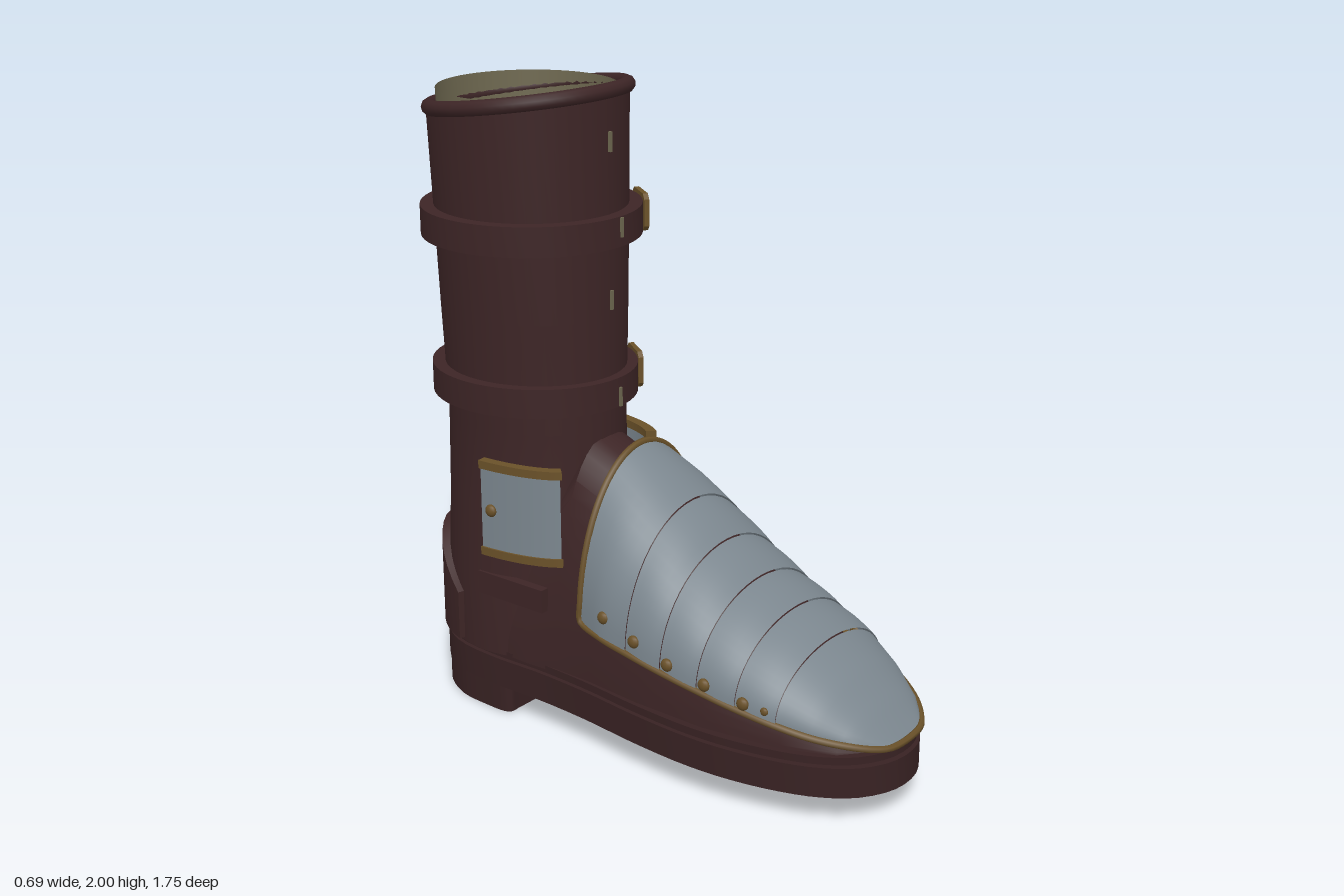
import * as THREE from 'three';
import { toCreasedNormals } from 'three/addons/utils/BufferGeometryUtils.js';

const mat = (name, color) =>
  Object.assign(new THREE.MeshStandardMaterial({ color, side: THREE.DoubleSide }), { name });
const leather = mat('brown leather', 0x3d2526);
const soleMat = mat('dark sole leather', 0x382223);
const steel = mat('steel', 0x7b868e);
const bronze = mat('bronze', 0x6a5129);
const lining = mat('olive lining', 0x6e6850);

const CZ = -0.52; // centre of the shaft
const V = (x, y, z) => new THREE.Vector3(x, y, z);
const lerp = THREE.MathUtils.lerp;
const rad = THREE.MathUtils.degToRad;

// piecewise-linear lookup: rows of [key, a, b, ...]
function sample(rows, k) {
  let i = 0;
  while (i < rows.length - 2 && k > rows[i + 1][0]) i++;
  const t = (k - rows[i][0]) / (rows[i + 1][0] - rows[i][0]);
  return rows[i].map((v, j) => lerp(v, rows[i + 1][j], t));
}

// skin a list of equal-length rings
function loft(rings, { wrap = false, caps = false, crease = 0.6 } = {}) {
  const n = rings[0].length, pos = [], idx = [];
  rings.forEach(r => r.forEach(p => pos.push(p.x, p.y, p.z)));
  for (let i = 0; i < rings.length - 1; i++)
    for (let j = 0; j < (wrap ? n : n - 1); j++) {
      const a = i * n + j, b = i * n + (j + 1) % n;
      idx.push(a, b, a + n, b, b + n, a + n);
    }
  if (caps) for (let j = 1; j < n - 1; j++) {
    const e = (rings.length - 1) * n;
    idx.push(0, j + 1, j, e, e + j, e + j + 1);
  }
  const g = new THREE.BufferGeometry();
  g.setAttribute('position', new THREE.Float32BufferAttribute(pos, 3));
  g.setIndex(idx);
  return toCreasedNormals(g, crease);
}

// thick plate wrapped round the shaft; angle 0 faces front, 90 is the model's left
function wrapPlate(a0, a1, low, high, rx, rz, thick = 0.02, pow = 1, n = 20) {
  const rings = [];
  for (let i = 0; i <= n; i++) {
    const a = rad(lerp(a0, a1, i / n)), s = Math.sin(a);
    const sx = Math.sign(s) * Math.abs(s) ** pow, c = Math.cos(a);
    const top = typeof high === 'function' ? high(CZ + rz * c) : high;
    const at = (d, y) => V((rx - d) * sx, y, CZ + (rz - d) * c);
    rings.push([at(0, low), at(0, top), at(thick, top), at(thick, low)]);
  }
  return loft(rings, { wrap: true, caps: true });
}

const ellipse = (rx, rz, cz, yAt, n = 48) => Array.from({ length: n }, (_, i) => {
  const a = i / n * Math.PI * 2, z = cz + rz * Math.cos(a);
  return V(rx * Math.sin(a), yAt(z), z);
});

// slab from a half outline of [z, halfWidth] running toe to heel
function slab(half, top, depth, k = 1) {
  const pts = half.map(([z, w]) => new THREE.Vector2(w * k, z * k));
  const all = [...pts, ...pts.map(p => new THREE.Vector2(-p.x, p.y)).reverse()];
  const curve = new THREE.CatmullRomCurve3(all.map(p => V(p.x, p.y, 0)), true);
  const shape = new THREE.Shape(curve.getPoints(80).slice(0, -1).map(p => new THREE.Vector2(p.x, p.y)));
  const g = new THREE.ExtrudeGeometry(shape, { depth, bevelEnabled: false });
  g.rotateX(Math.PI / 2).translate(0, top, 0);
  return toCreasedNormals(g, 0.6);
}

// toe armour: z, half width, lower edge, crown
const ARMOUR = [
  [-0.1, 0.3, 0.44, 0.925], [0, 0.325, 0.42, 0.855], [0.1, 0.333, 0.405, 0.785],
  [0.225, 0.33, 0.38, 0.685], [0.35, 0.32, 0.355, 0.6], [0.475, 0.305, 0.33, 0.535],
  [0.6, 0.28, 0.305, 0.47], [0.7, 0.24, 0.28, 0.4], [0.79, 0.18, 0.258, 0.32],
  [0.84, 0.125, 0.243, 0.267], [0.865, 0.075, 0.236, 0.24]];
function arch(z, w, base, top, pow = 1, n = 28) {
  return Array.from({ length: n + 1 }, (_, i) => {
    const a = Math.PI * i / n, c = Math.cos(a);
    return V(w * Math.sign(c) * Math.abs(c) ** pow, base + (top - base) * Math.sin(a), z);
  });
}

export function createModel() {
  const root = new THREE.Group();
  root.name = 'armouredBoot';
  const add = (name, geo, m, parent = root) => {
    const mesh = new THREE.Mesh(geo, m);
    mesh.name = name;
    parent.add(mesh);
    return mesh;
  };

  // sole, welt and heel block
  const outline = [[0.87, 0.06], [0.81, 0.165], [0.72, 0.23], [0.6, 0.275], [0.45, 0.305], [0.3, 0.314],
    [0.1, 0.302], [-0.1, 0.278], [-0.3, 0.266], [-0.5, 0.268], [-0.66, 0.245], [-0.77, 0.175], [-0.83, 0.06]];
  add('sole', slab(outline, 0.19, 0.095), soleMat);
  add('welt', slab(outline, 0.222, 0.024, 0.99), soleMat);
  add('heel', slab([[-0.44, 0.2], [-0.445, 0.247], [-0.55, 0.254], [-0.66, 0.238], [-0.77, 0.17],
    [-0.83, 0.06]], 0.1, 0.1), soleMat);

  // foot upper: z, half width, crown
  const foot = [[-0.7, 0.2, 0.3], [-0.5, 0.262, 0.55], [-0.35, 0.268, 0.75], [-0.23, 0.262, 0.925],
    [-0.1, 0.265, 0.865], [0.1, 0.285, 0.74], [0.35, 0.29, 0.56], [0.6, 0.255, 0.42],
    [0.75, 0.19, 0.3], [0.84, 0.09, 0.235]];
  add('footUpper', loft(foot.map(([z, w, h]) => arch(z, w, 0.21, h, 0.85)), { caps: true, wrap: true }), leather);

  // shaft: y, rx, rz, cz, with a slanted mouth
  const slant = z => 1.937 + 0.14 * (z - CZ);
  const shaft = [[0.21, 0.278, 0.3, -0.52], [0.45, 0.275, 0.3, -0.52], [0.7, 0.26, 0.297, -0.517],
    [0.95, 0.257, 0.294, -0.514], [1.3, 0.279, 0.297, -0.517], [1.6, 0.293, 0.3, -0.52]];
  const rings = shaft.map(([y, rx, rz, cz]) => ellipse(rx, rz, cz, () => y));
  rings.push(ellipse(0.308, 0.303, -0.524, slant));
  rings.forEach(r => r.push(r[0].clone()));
  add('shaft', loft(rings), leather);
  const rimPath = new THREE.CatmullRomCurve3(ellipse(0.297, 0.297, -0.522, slant, 32), true);
  add('rim', new THREE.TubeGeometry(rimPath, 64, 0.024, 10, true), leather);
  add('liner', loft([[1.2, 0.25], [1.965, 0.275]].map(([y, r]) => {
    const e = ellipse(r, r, -0.525, () => y);
    return [...e, e[0].clone()];
  })), lining);

  // heel counter and side tabs
  add('heelCounter', wrapPlate(108, 252, 0.22, z => lerp(0.38, 0.545, Math.min(1, (-0.62 - z) / 0.2)),
    0.295, 0.328, 0.03), leather);
  for (const s of [1, -1])
    add('sideTab', new THREE.BoxGeometry(0.03, 0.075, 0.26).translate(s * 0.265, 0.445, -0.4), leather);

  // straps with keeper and buckle
  for (const [y, rx, rz] of [[1.567, 0.334, 0.342], [1.065, 0.304, 0.332]]) {
    const strap = new THREE.Group();
    strap.name = 'strap';
    root.add(strap);
    add('strapBand', wrapPlate(0, 360, y - 0.046, y + 0.046, rx, rz, 0.045, 1, 56), leather, strap);
    add('strapKeeper', wrapPlate(173, 187, y - 0.052, y + 0.052, rx + 0.012, rz + 0.012, 0.02, 1, 4), leather, strap);
    const buckle = new THREE.Group();
    buckle.name = 'buckle';
    const frame = new THREE.Shape(), hole = new THREE.Path();
    [[-0.05, -0.058], [0.05, -0.058], [0.066, -0.042], [0.066, 0.042], [0.05, 0.058], [-0.05, 0.058],
      [-0.066, 0.042], [-0.066, -0.042]].forEach(([x, v], i) => {
      frame[i ? 'lineTo' : 'moveTo'](x, v);
      hole[i ? 'lineTo' : 'moveTo'](x * 0.7, v * 0.68);
    });
    frame.holes.push(hole);
    add('buckleFrame', new THREE.ExtrudeGeometry(frame, { depth: 0.016, bevelEnabled: false }), bronze, buckle);
    add('bucklePin', new THREE.BoxGeometry(0.11, 0.012, 0.014).translate(0, 0, 0.012), bronze, buckle);
    const a = rad(54);
    buckle.position.set(rx * Math.sin(a), y, CZ + rz * Math.cos(a));
    buckle.rotation.y = a;
    strap.add(buckle);
  }

  // front seam stitches
  for (const [y, z] of [[1.83, -0.219], [1.58, -0.178], [1.35, -0.219], [1.05, -0.188]])
    add('stitch', new THREE.BoxGeometry(0.01, 0.06, 0.012).translate(0.01, y, z), lining);

  // overlapping toe armour lames
  const cuts = [-0.1, 0.1, 0.225, 0.35, 0.475, 0.6, 0.865];
  for (let k = 0; k < cuts.length - 1; k++) {
    const last = k === cuts.length - 2, n = last ? 14 : 6, lame = [];
    for (let i = 0; i <= n; i++) {
      const t = i / n, [z, w, base, top] = sample(ARMOUR, lerp(cuts[k], cuts[k + 1], t));
      const swell = last ? 0 : 0.01 * Math.sin(Math.PI * Math.min(1, t * 0.8));
      lame.push(arch(z, w + swell * 0.6, base, top + swell));
    }
    add('toeLame', loft(lame, { crease: 1 }), steel);
  }

  // bronze trim round the armour edge
  const side = s => ARMOUR.map(([z, w, b]) => V(s * w, b, z));
  const back = arch(...ARMOUR[0]);
  const edge = [...side(1).reverse(), ...back.slice(1, -1), ...side(-1)];
  add('armourTrim', new THREE.TubeGeometry(new THREE.CatmullRomCurve3(edge, true, 'centripetal'), 160, 0.011, 6, true), bronze);

  // rivets and ankle plates on both sides
  const rivet = (x, y, z, r = 0.02) =>
    add('rivet', new THREE.SphereGeometry(r, 12, 8).scale(0.7, 1, 1).translate(x, y, z), bronze);
  for (const s of [1, -1]) {
    for (const [z, y, r] of [[0.01, 0.49], [0.13, 0.45], [0.25, 0.41], [0.375, 0.38], [0.5, 0.352], [0.565, 0.342, 0.013]]) {
      const [, w, base, top] = sample(ARMOUR, z);
      const h = (y - base) / (top - base);
      rivet(s * (w * Math.sqrt(1 - h * h) + 0.003), y, z, r);
    }
    add('anklePlate', wrapPlate(s * 36, s * 85, 0.565, 0.855, 0.3, 0.36, 0.02, 0.5), steel);
    for (const y of [0.57, 0.855])
      add('ankleTrim', wrapPlate(s * 35, s * 85.5, y - 0.013, y + 0.013, 0.306, 0.366, 0.03, 0.5), bronze);
    rivet(s * 0.3, 0.71, -0.45);
  }
  return root;
}
